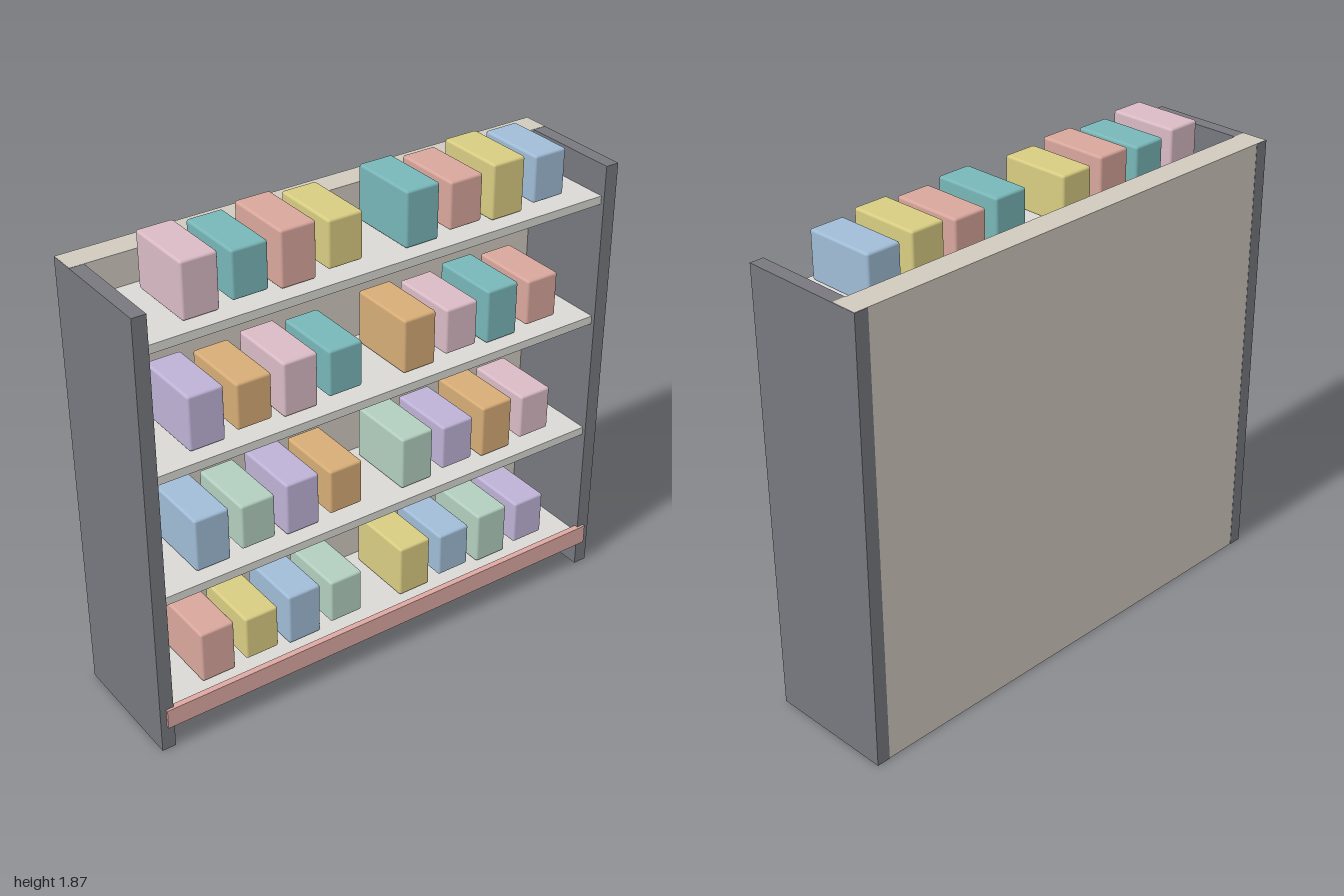
import * as THREE from 'three';
import { RoundedBoxGeometry } from 'three/addons/geometries/RoundedBoxGeometry.js';

const mat = (color) => new THREE.MeshStandardMaterial({ color });

export function createModel() {
  const shelfUnit = new THREE.Group();
  shelfUnit.name = 'shelfUnit';

  // box given by its min and max corners
  const addBox = (name, material, [x0, y0, z0], [x1, y1, z1]) => {
    const mesh = new THREE.Mesh(new THREE.BoxGeometry(x1 - x0, y1 - y0, z1 - z0), material);
    mesh.position.set((x0 + x1) / 2, (y0 + y1) / 2, (z0 + z1) / 2);
    mesh.name = name;
    shelfUnit.add(mesh);
  };

  // side panels
  const sideMat = mat(0x77787e);
  addBox('leftSide', sideMat, [0.945, 0, -0.26], [1, 1.769, 0.25]);
  addBox('rightSide', sideMat, [-1, 0, -0.26], [-0.945, 1.769, 0.25]);

  // thick back panel, a hair inside the side panels' outer faces
  addBox('backPanel', mat(0xcfc9be), [-0.999, 0.001, -0.259], [0.999, 1.77, -0.155]);

  // front rail
  addBox('frontRail', mat(0xdca8a2), [-0.975, 0.1, 0.235], [0.975, 0.18, 0.26]);

  // shelves, each with two groups of four packages
  const shelfMat = mat(0xd9d8d4);
  const packMats = [
    0xd8a69c, 0xd8cc82, 0xa0bcd6, 0xb2cebe, 0xbeb2d6, 0xd6ac76, 0xd9bac5, 0x78b6b8,
  ].map(mat);
  const tall = new RoundedBoxGeometry(0.14, 0.215, 0.282, 2, 0.01);
  const short = new RoundedBoxGeometry(0.14, 0.183, 0.282, 2, 0.01);

  for (let row = 0; row < 4; row++) {
    const top = 0.155 + row * 0.4975;
    addBox('shelf', shelfMat, [-0.945, top - 0.033, -0.155], [0.945, top, 0.235]);

    for (let side = 0; side < 2; side++) {
      for (let i = 0; i < 4; i++) {
        const pack = new THREE.Mesh(i % 2 ? short : tall, packMats[(row * 2 + side + i) % 8]);
        pack.position.set((side ? 0.176 : -0.709) + i * 0.188, top + 0.112, 0.036);
        pack.name = 'package';
        shelfUnit.add(pack);
      }
    }
  }
  return shelfUnit;
}
